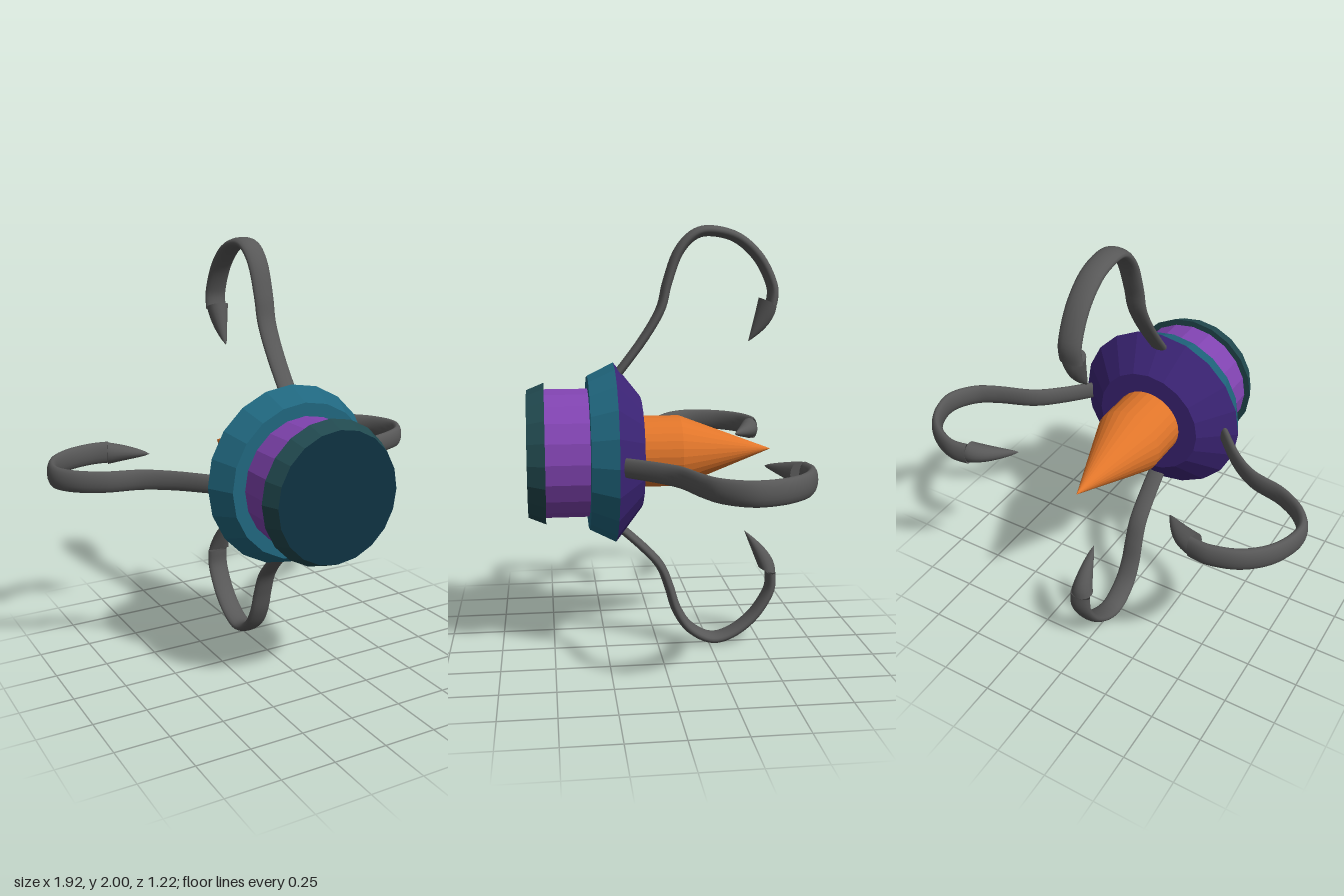
import * as THREE from 'three';

const AXIS_Y = 0.96;

function material(name, color, extra = {}) {
  const m = new THREE.MeshStandardMaterial({ color, ...extra });
  m.name = name;
  return m;
}

// Skins a row of elliptical sections lying across the r-z plane.
// Each section: centre c (r, z), half-thickness vector h (r, z), half-width w.
function loft(sections, sides = 16) {
  const pos = [], index = [];
  for (const { c, h, w } of sections) {
    for (let j = 0; j < sides; j++) {
      const a = (j / sides) * Math.PI * 2;
      pos.push(c.x + h.x * Math.cos(a), w * Math.sin(a), c.y + h.y * Math.cos(a));
    }
  }
  for (let i = 0; i < sections.length - 1; i++) {
    for (let j = 0; j < sides; j++) {
      const k = (j + 1) % sides;
      const a = i * sides + j, b = i * sides + k;
      index.push(a, b, b + sides, a, b + sides, a + sides);
    }
  }
  const g = new THREE.BufferGeometry();
  g.setAttribute('position', new THREE.Float32BufferAttribute(pos, 3));
  g.setIndex(index);
  g.computeVertexNormals();
  return g;
}

// Flattened curved shank plus a one-sided barbed point
function makeHook(name, angle, path, barb, tip, steel) {
  const hook = new THREE.Group();
  hook.name = name;
  const V = (p) => new THREE.Vector2(p[0], p[1]);
  const curve = new THREE.SplineCurve(path.map(V));
  const shank = [];
  const N = 56;
  for (let i = 0; i <= N; i++) {
    const t = i / N;
    const d = curve.getTangent(t);
    const grow = Math.min(1, 0.8 + 0.35 * t);
    shank.push({
      c: curve.getPoint(t),
      h: new THREE.Vector2(d.y, -d.x).multiplyScalar(0.025 * grow),
      w: 0.054 * grow,
    });
  }
  const shankMesh = new THREE.Mesh(loft(shank), steel);
  shankMesh.name = 'hookShank';

  // Point: straight inner edge from barb to tip, curved outer edge
  const end = shank[N];
  const outer0 = end.c.clone().sub(end.h);
  const bend = outer0.clone().addScaledVector(curve.getTangent(1), 0.09);
  const edge = new THREE.QuadraticBezierCurve(outer0, bend, V(tip));
  const head = [];
  for (let i = 0; i <= 10; i++) {
    const t = i / 10;
    const inner = V(barb).lerp(V(tip), t);
    const outer = edge.getPoint(t);
    head.push({
      c: inner.clone().add(outer).multiplyScalar(0.5),
      h: inner.clone().sub(outer).multiplyScalar(0.5),
      w: 0.055 * Math.pow(1 - t, 0.7),
    });
  }
  // closed base, with a doubled ring to keep its edge sharp
  const cap = { c: head[0].c, h: new THREE.Vector2(), w: 0 };
  const headMesh = new THREE.Mesh(loft([cap, head[0], ...head]), steel);
  headMesh.name = 'hookBarb';

  hook.add(shankMesh, headMesh);
  hook.rotation.z = angle;
  return hook;
}

export function createModel() {
  const flat = { flatShading: true };
  const orange = material('orange', 0xe0752a, flat);
  const indigo = material('indigo', 0x3d2578, flat);
  const violet = material('violet', 0x8043b0, flat);
  const teal = material('teal', 0x20677f, flat);
  const darkTeal = material('dark teal', 0x21494f, flat);
  const navy = material('deep navy', 0x0f3242, flat);
  const steel = material('dark grey metal', 0x585858, { side: THREE.DoubleSide });

  const model = new THREE.Group();
  model.name = 'grapplingHead';
  const body = new THREE.Group();
  body.name = 'body';
  body.position.set(0.005, AXIS_Y, 0);
  model.add(body);

  // Turned section along z; materials are [side, front cap, back cap]
  const turned = (name, zBack, rBack, zFront, rFront, mat, sides = 20) => {
    const g = new THREE.CylinderGeometry(rFront, rBack, zFront - zBack, sides);
    g.rotateX(Math.PI / 2);
    const mesh = new THREE.Mesh(g, mat);
    mesh.name = name;
    mesh.position.z = (zBack + zFront) / 2;
    body.add(mesh);
  };
  turned('spikeTip', -0.54, 0, -0.1, 0.167, orange, 28);
  turned('spikeShaft', -0.1, 0.167, 0.1, 0.167, orange, 28);
  turned('rearCone', 0.085, 0.262, 0.21, 0.42, indigo);
  turned('collar', 0.21, 0.42, 0.33, 0.36, teal);
  turned('band', 0.32, 0.3, 0.54, 0.3, violet);
  turned('frontCap', 0.53, 0.33, 0.61, 0.297, [darkTeal, navy, darkTeal]);

  // Hooks: shank path, barb and tip as (distance from axis, z)
  const hooks = [
    ['leftHook', 0,
      [[0.36, 0.2], [0.482, 0.067], [0.595, -0.026], [0.765, -0.092], [0.865, -0.154], [0.922, -0.265],
        [0.89, -0.395], [0.805, -0.497], [0.685, -0.555], [0.59, -0.55]],
      [0.59, -0.487], [0.395, -0.42]],
    ['topHook', Math.PI / 2,
      [[0.34, 0.21], [0.517, 0.075], [0.66, -0.01], [0.782, -0.042], [0.915, -0.09], [0.995, -0.16],
        [1.016, -0.244], [0.985, -0.366], [0.893, -0.47], [0.766, -0.533], [0.68, -0.53]],
      [0.713, -0.472], [0.511, -0.424]],
    ['rightHook', Math.PI,
      [[0.36, 0.18], [0.492, 0.036], [0.62, -0.056], [0.775, -0.1], [0.892, -0.18], [0.945, -0.29],
        [0.902, -0.436], [0.8, -0.54], [0.672, -0.585], [0.58, -0.58]],
      [0.605, -0.52], [0.415, -0.45]],
    ['bottomHook', -Math.PI / 2,
      [[0.34, 0.21], [0.464, 0.074], [0.56, -0.01], [0.666, -0.053], [0.782, -0.09], [0.878, -0.154],
        [0.935, -0.26], [0.91, -0.366], [0.825, -0.472], [0.703, -0.546], [0.61, -0.551]],
      [0.586, -0.493], [0.4, -0.419]],
  ];
  for (const [name, angle, path, barb, tip] of hooks) {
    body.add(makeHook(name, angle, path, barb, tip, steel));
  }
  return model;
}
